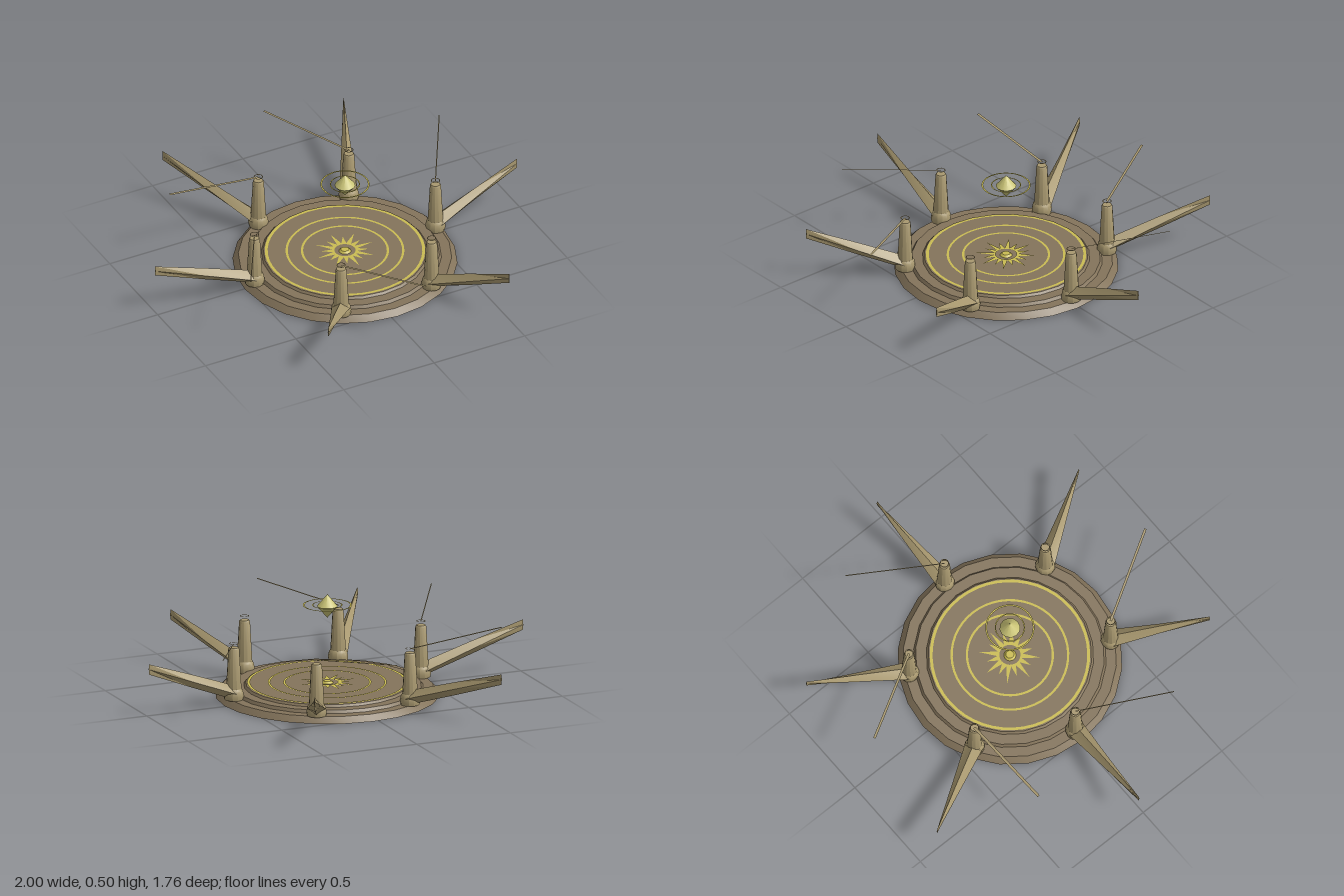
import * as THREE from 'three';
import { toCreasedNormals } from 'three/addons/utils/BufferGeometryUtils.js';

export function createModel() {
  const model = new THREE.Group();
  const mat = (name, color, side = THREE.FrontSide) => {
    const m = new THREE.MeshStandardMaterial({ color, side });
    m.name = name;
    return m;
  };
  const stone = mat('brown stone', 0x84745b);
  const tan = mat('tan stone', 0xa8986f, THREE.DoubleSide);
  const gold = mat('yellow inlay', 0xcabc52, THREE.DoubleSide);
  const crystalMat = mat('pale yellow crystal', 0xcac476);

  const CX = 0.03, CZ = 0.01;
  const add = (name, geo, material, x = CX, y = 0, z = CZ) => {
    const m = new THREE.Mesh(geo, material);
    m.name = name;
    m.position.set(x, y, z);
    model.add(m);
    return m;
  };
  const lathe = (pts, seg) => toCreasedNormals(
    new THREE.LatheGeometry(pts.map(p => new THREE.Vector2(...p)), seg), 0.5);

  // Stepped round platform
  add('platform', lathe([[0, 0], [0.55, 0], [0.522, 0.03], [0.472, 0.03], [0.462, 0.045],
    [0.41, 0.045], [0.4, 0.056], [0, 0.056]], 24), stone);

  // Flat ring lying level
  const ring = (name, inner, outer, material, x, y, z, seg = 48) =>
    add(name, new THREE.RingGeometry(inner, outer, seg).rotateX(-Math.PI / 2), material, x, y, z);

  // Floor inlay: three circles, a sunburst and a small boss
  for (const [r, w] of [[0.385, 0.014], [0.285, 0.011], [0.21, 0.011]])
    ring('floorCircle', r - w / 2, r + w / 2, gold, CX, 0.059, CZ);
  const star = new THREE.Shape();
  for (let i = 0; i < 32; i++) {
    const a = i / 32 * Math.PI * 2;
    const r = i % 2 ? 0.062 : i % 4 ? 0.115 : 0.15;
    star[i ? 'lineTo' : 'moveTo'](Math.cos(a) * r, Math.sin(a) * r);
  }
  const hole = new THREE.Path();
  hole.absarc(0, 0, 0.052, 0, Math.PI * 2, true);
  star.holes.push(hole);
  add('sunburst', new THREE.ShapeGeometry(star, 12).rotateX(-Math.PI / 2), gold, CX, 0.06, CZ);
  add('centreBoss', new THREE.CylinderGeometry(0.02, 0.03, 0.01, 16), gold, CX, 0.061, CZ);

  // Floating crystal and its level orbit rings
  add('crystal', lathe([[0, -0.06], [0.051, 0], [0, 0.06]], 12), crystalMat, CX, 0.445, CZ);
  ring('outerOrbit', 0.112, 0.12, gold, CX, 0.45, CZ);
  ring('innerOrbit', 0.068, 0.074, gold, CX, 0.45, CZ);

  // Loft through diamond sections [centre, half width, half height] facing along angle a
  const blade = (sections, a) => {
    const sx = -Math.sin(a), sz = Math.cos(a), pos = [], idx = [];
    for (const [c, w, h] of sections)
      for (const [u, v] of [[1, 0], [0, 1], [-1, 0], [0, -1]])
        pos.push(c.x + sx * w * u, c.y + h * v, c.z + sz * w * u);
    const n = sections.length - 1;
    for (let s = 0; s < n; s++)
      for (let k = 0; k < 4; k++) {
        const p = s * 4 + k, q = s * 4 + (k + 1) % 4;
        idx.push(p, p + 4, q, q, p + 4, q + 4);
      }
    idx.push(0, 1, 2, 0, 2, 3, n * 4, n * 4 + 2, n * 4 + 1, n * 4, n * 4 + 3, n * 4 + 2);
    const g = new THREE.BufferGeometry();
    g.setAttribute('position', new THREE.Float32BufferAttribute(pos, 3));
    g.setIndex(idx);
    return toCreasedNormals(g, 0.5);
  };

  // Thin flat ribbon from a to b
  const ribbon = (a, b, w) => {
    const side = new THREE.Vector3(-(b.z - a.z), 0, b.x - a.x).setLength(w / 2);
    const g = new THREE.BufferGeometry().setFromPoints([
      a.clone().sub(side), a.clone().add(side), b.clone().add(side), b.clone().sub(side)]);
    g.setIndex([0, 1, 2, 0, 2, 3]);
    g.computeVertexNormals();
    return g;
  };

  // Six pillars, each with an outward blade, a halo and a swept ribbon
  const pillarGeo = lathe([[0, 0.03], [0.047, 0.03], [0.05, 0.05], [0.045, 0.075], [0.038, 0.085],
    [0.027, 0.285], [0.023, 0.292], [0, 0.292]], 12);
  const ribbonWidth = [0.005, 0, 0.012, 0.005, 0.014, 0.012];
  for (let i = 0; i < 6; i++) {
    const a = i * Math.PI / 3, c = Math.cos(a), s = Math.sin(a);
    const x = CX + 0.5 * c, z = CZ + 0.5 * s;
    add('pillar', pillarGeo, tan, x, 0, z);
    ring('pillarHalo', 0.018, 0.023, tan, x, 0.312, z, 16);

    const base = new THREE.Vector3(x, 0.064, z);
    const tip = new THREE.Vector3(c, 0.243, -0.027 + s);
    add('blade', blade([[base, 0.046, 0.036], [base.clone().lerp(tip, 0.5), 0.024, 0.033],
      [tip, 0.003, 0.026]], a), tan, 0, 0, 0);

    if (ribbonWidth[i]) {
      const b = a - Math.PI / 3;
      add('ribbon', ribbon(new THREE.Vector3(x, 0.31, z),
        new THREE.Vector3(x + 0.49 * Math.cos(b), 0.364, z + 0.49 * Math.sin(b)),
        ribbonWidth[i]), tan, 0, 0, 0);
    }
  }
  return model;
}
